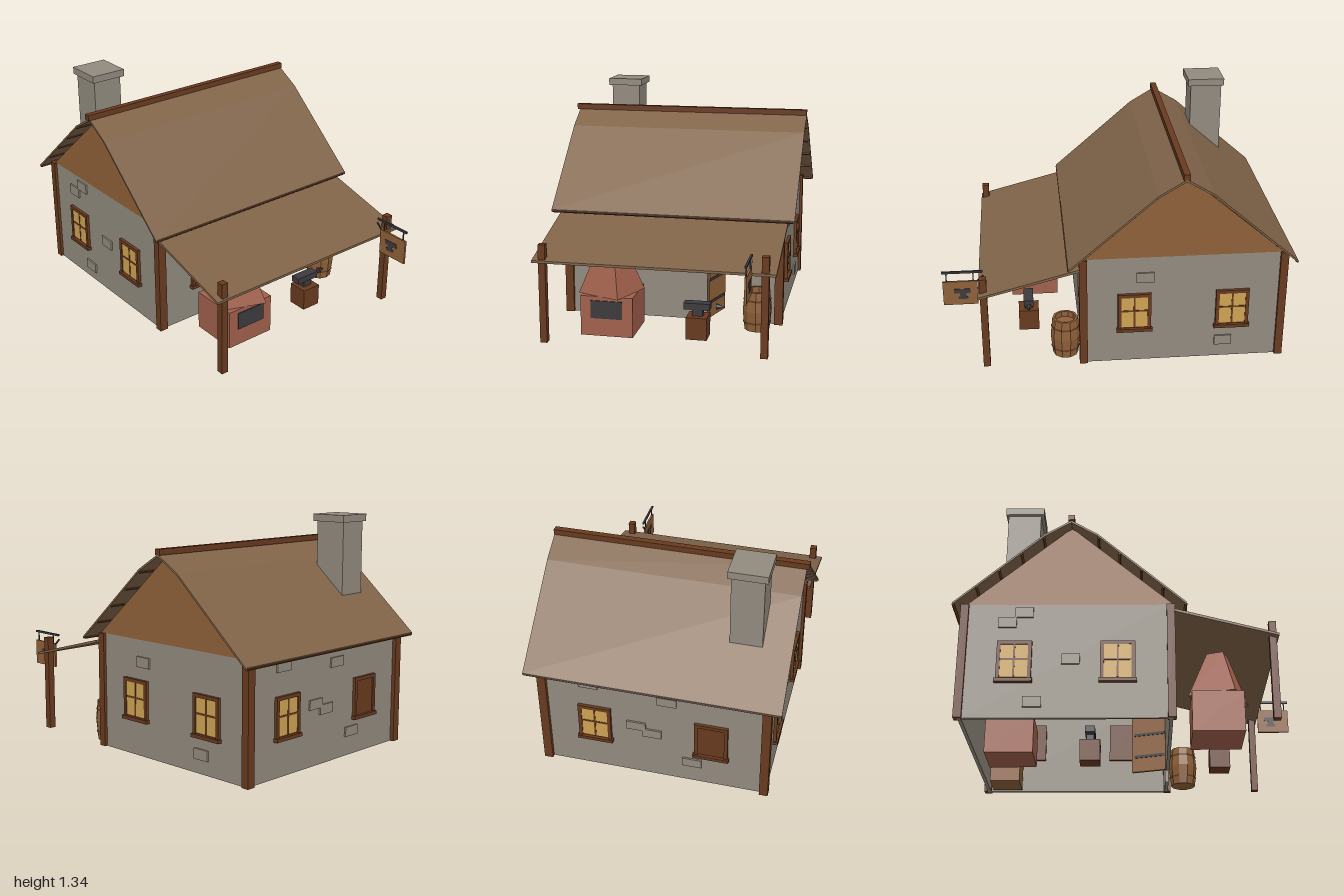
import * as THREE from 'three';

const mat = (name, color) => {
  const m = new THREE.MeshStandardMaterial({ color, flatShading: true });
  m.name = name;
  return m;
};

export function createModel() {
  const stone = mat('wall stone', 0x918a7e);
  const darkWood = mat('dark timber', 0x683a1f);
  const wood = mat('plank wood', 0x8e6039);
  const thatch = mat('roof brown', 0x7f6348);
  const glass = mat('window glow', 0xcda353);
  const brick = mat('forge brick', 0xa1604c);
  const iron = mat('iron', 0x3c3a3d);

  const model = new THREE.Group();
  model.name = 'smithy';

  const add = (parent, name, geo, material, x = 0, y = 0, z = 0) => {
    const m = new THREE.Mesh(geo, material);
    m.name = name;
    m.position.set(x, y, z);
    parent.add(m);
    return m;
  };
  const box = (parent, name, material, w, h, d, x, y, z) =>
    add(parent, name, new THREE.BoxGeometry(w, h, d), material, x, y, z);
  const group = (name, x = 0, y = 0, z = 0, ry = 0) => {
    const g = new THREE.Group();
    g.name = name;
    g.position.set(x, y, z);
    g.rotation.y = ry;
    model.add(g);
    return g;
  };
  // Profile of [z, y] points, extruded along x
  const extrudeX = (pts, x0, x1) => {
    const s = new THREE.Shape(pts.map(([z, y]) => new THREE.Vector2(-z, y)));
    const g = new THREE.ExtrudeGeometry(s, { depth: x1 - x0, bevelEnabled: false });
    return g.rotateY(Math.PI / 2).translate(x0, 0, 0);
  };

  // Walls: the front one has a doorway
  const X = 0.645, ZF = 0.22, ZB = -0.92, H = 0.67, T = 0.02;
  const front = new THREE.Shape([
    [-X, 0], [0.21, 0], [0.21, 0.5], [0.435, 0.5], [0.435, 0], [X, 0], [X, H], [-X, H],
  ].map(p => new THREE.Vector2(...p)));
  add(model, 'frontWall', new THREE.ExtrudeGeometry(front, { depth: T, bevelEnabled: false }), stone, 0, 0, ZF - T);
  box(model, 'backWall', stone, 2 * X, H, T, 0, H / 2, ZB + T / 2);
  for (const s of [-1, 1]) {
    box(model, 'sideWall', stone, T, H, ZF - ZB - 2 * T, s * (X - T / 2), H / 2, (ZF + ZB) / 2);
    const gx = s * (X - T / 2);
    add(model, 'gable', extrudeX([[0.235, H], [-0.34, 1.165], [-0.915, H]], gx - T / 2, gx + T / 2), wood);
    for (const z of [0.215, -0.92]) box(model, 'cornerPost', darkWood, 0.05, H, 0.045, s * 0.637, H / 2, z);
    box(model, 'awningPost', darkWood, 0.04, 0.57, 0.04, s * 0.622, 0.285, 0.77);
  }

  // Main roof: a thin bent sheet with battens under it
  const slope = [[0.3, 0.65], [-0.19, 1.08], [-0.34, 1.17]];
  const mirrored = slope.slice(0, 2).reverse().map(([z, y]) => [-0.68 - z, y]);
  const top = [...slope, ...mirrored];
  const under = top.map(([z, y]) => [z, y - 0.013]).reverse();
  add(model, 'roof', extrudeX([...top, ...under], -0.72, 0.725), thatch);
  for (const s of [-1, 1]) {
    for (let i = 0; i < 5; i++) {
      const t = i / 4;
      const dz = 0.635 - t * 0.48;
      const b = box(model, 'roofBatten', darkWood, 1.43, 0.012, 0.014, 0, 0.642 + t * 0.421, -0.34 + s * dz);
      b.rotation.x = s * 0.72;
    }
  }
  box(model, 'ridgeBeam', darkWood, 1.46, 0.033, 0.036, -0.005, 1.182, -0.34);

  // Lean-to awning
  add(model, 'awning', extrudeX([[0.235, 0.63], [0.8, 0.48], [0.8, 0.466], [0.235, 0.614]], -0.678, 0.683), thatch);

  // Chimney
  box(model, 'chimney', stone, 0.18, 0.5, 0.19, -0.468, 1.05, -0.625);
  box(model, 'chimneyCap', stone, 0.216, 0.042, 0.222, -0.468, 1.322, -0.622);

  // Windows, built facing +z and turned onto each wall
  const addWindow = (x, z, ry, shuttered) => {
    const g = group(shuttered ? 'shutteredWindow' : 'window', x, 0.33, z, ry);
    box(g, 'windowBacking', darkWood, 0.15, 0.235, 0.05, 0, -0.008, -0.016);
    for (const s of [-1, 1]) {
      box(g, 'frameSide', darkWood, 0.02, 0.225, 0.02, s * 0.085, 0, 0.008);
      if (s > 0) box(g, 'frameTop', darkWood, 0.19, 0.02, 0.02, 0, 0.103, 0.008);
    }
    box(g, 'windowSill', darkWood, 0.205, 0.02, 0.03, 0, -0.118, 0.012);
    if (shuttered) return;
    box(g, 'windowPane', glass, 0.152, 0.2, 0.004, 0, 0, 0.011);
    box(g, 'mullion', darkWood, 0.01, 0.2, 0.005, 0, 0, 0.013);
    box(g, 'crossBar', darkWood, 0.152, 0.01, 0.005, 0, 0.005, 0.013);
  };
  for (const s of [-1, 1]) for (const z of [-0.075, -0.635]) addWindow(s * X, z, s * Math.PI / 2, false);
  addWindow(0.34, ZB, Math.PI, false);
  addWindow(-0.33, ZB, Math.PI, true);
  addWindow(-0.33, ZF, 0, true);

  // Raised stones in the walls
  const sideStones = { 1: [[-0.135, 0.545], [-0.59, 0.11]], '-1': [[-0.59, 0.62], [-0.68, 0.56], [-0.33, 0.34], [-0.53, 0.09]] };
  for (const s of [-1, 1])
    for (const [z, y] of sideStones[s]) box(model, 'wallStone', stone, 0.02, 0.06, 0.1, s * X, y, z);
  for (const [x, y] of [[0.37, 0.6], [-0.08, 0.56], [0.1, 0.35], [0.01, 0.31], [-0.22, 0.14]])
    box(model, 'wallStone', stone, 0.11, 0.055, 0.02, x, y, ZB);
  box(model, 'wallStone', stone, 0.09, 0.06, 0.02, 0.55, 0.42, ZF);

  // Door, standing open inward
  const door = group('door', 0.212, 0, 0.2, 1.27);
  box(door, 'doorLeaf', wood, 0.21, 0.48, 0.018, 0.105, 0.245, 0);
  for (const y of [0.1, 0.24, 0.38]) box(door, 'doorHinge', iron, 0.19, 0.016, 0.026, 0.1, y, 0);

  // Outdoor forge with a tapering hood
  box(model, 'forgeBase', brick, 0.305, 0.235, 0.29, -0.302, 0.1175, 0.475);
  box(model, 'forgeMouth', iron, 0.185, 0.105, 0.008, -0.302, 0.158, 0.622);
  const hood = add(model, 'forgeHood', new THREE.CylinderGeometry(0.069, 0.192, 0.28, 4), brick, -0.302, 0.375, 0.49);
  hood.rotation.y = 0.42;

  // Anvils on stumps, one outside and one indoors
  for (const [x, z] of [[0.21, 0.52], [0.08, -0.25]]) {
    const g = group('anvil', x, 0, z);
    box(g, 'stump', darkWood, 0.12, 0.13, 0.12, 0, 0.065, 0);
    box(g, 'anvilWaist', iron, 0.06, 0.04, 0.045, 0, 0.15, 0);
    box(g, 'anvilTop', iron, 0.152, 0.038, 0.058, -0.004, 0.187, 0);
    const horn = add(g, 'anvilHorn', new THREE.ConeGeometry(0.02, 0.05, 6), iron, 0.13, 0.187, 0);
    horn.rotation.z = -Math.PI / 2;
  }

  // Indoor hearth and crate
  box(model, 'indoorHearth', brick, 0.27, 0.22, 0.28, 0.015, 0.11, -0.71);
  box(model, 'crate', wood, 0.19, 0.15, 0.18, 0.5, 0.076, -0.79);

  // Open barrel with iron hoops
  const profile = [[0.001, 0.01], [0.074, 0], [0.086, 0.118], [0.074, 0.235], [0.06, 0.235], [0.06, 0.2], [0.001, 0.2]];
  const barrel = group('barrel', 0.522, 0, 0.313);
  add(barrel, 'barrelBody', new THREE.LatheGeometry(profile.map(p => new THREE.Vector2(...p)), 10), wood);
  for (const y of [0.05, 0.185])
    add(barrel, 'barrelHoop', new THREE.CylinderGeometry(0.083, 0.083, 0.012, 10, 1, true), darkWood, 0, y, 0);

  // Hanging sign on an iron bracket
  const sign = group('hangingSign', 0.545, 0, 0);
  box(sign, 'signBar', iron, 0.012, 0.012, 0.23, 0, 0.572, 0.885);
  const brace = box(sign, 'signBrace', iron, 0.008, 0.008, 0.09, 0, 0.515, 0.8);
  brace.rotation.x = 0.75;
  for (const z of [0.825, 0.975]) box(sign, 'signHanger', iron, 0.006, 0.055, 0.006, 0, 0.542, z);
  box(sign, 'signBoard', wood, 0.012, 0.148, 0.195, 0, 0.441, 0.9);
  for (const s of [-1, 1]) {
    box(sign, 'signAnvilTop', iron, 0.004, 0.026, 0.09, s * 0.007, 0.455, 0.89);
    box(sign, 'signAnvilWaist', iron, 0.004, 0.025, 0.035, s * 0.007, 0.43, 0.885);
    box(sign, 'signAnvilFoot', iron, 0.004, 0.016, 0.055, s * 0.007, 0.412, 0.885);
  }
  return model;
}
